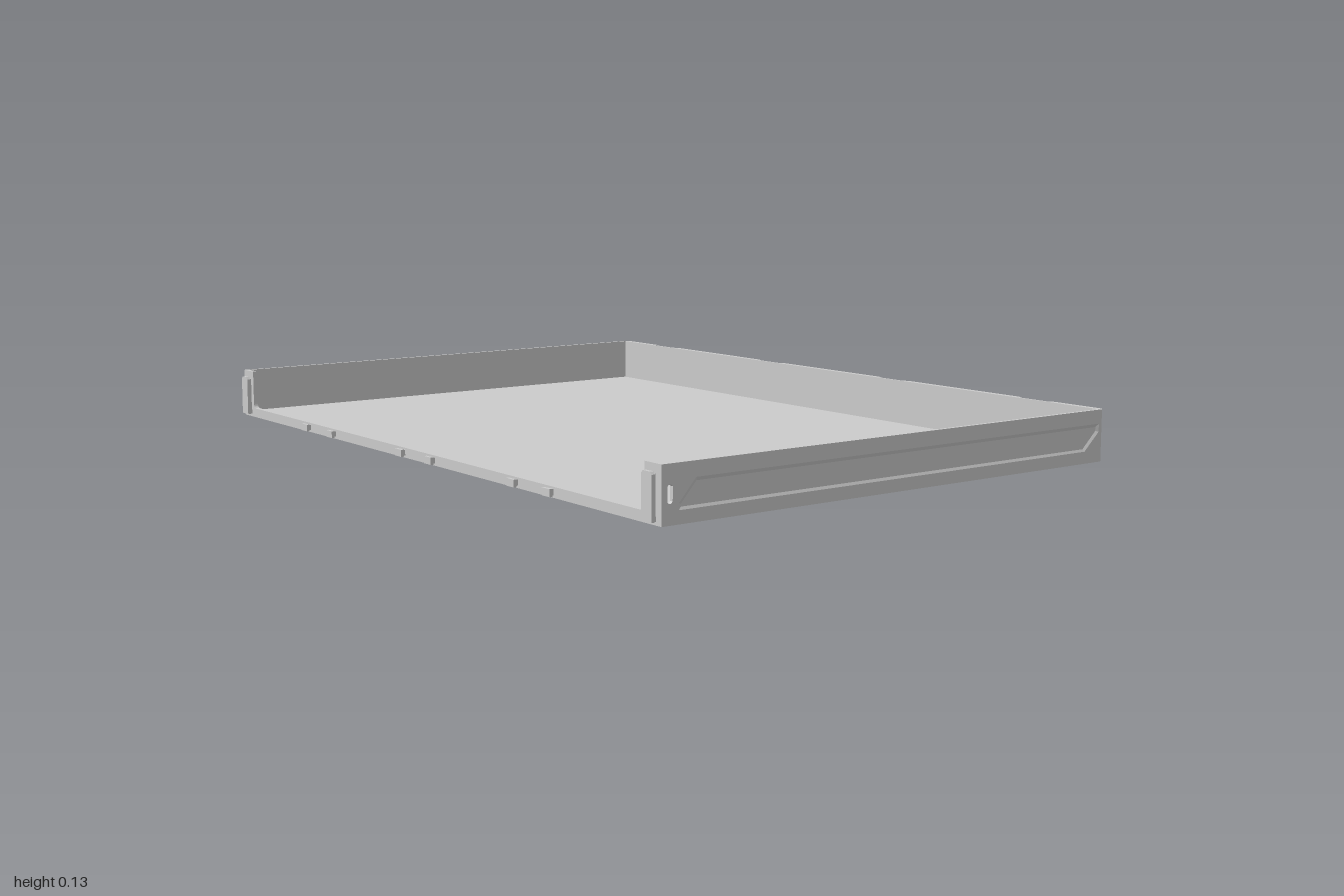
import * as THREE from 'three';
import { mergeGeometries } from 'three/addons/utils/BufferGeometryUtils.js';

const material = new THREE.MeshStandardMaterial({ color: 0xcccccc, flatShading: true });

const flat = (g) => {
  const out = g.index ? g.toNonIndexed() : g;
  out.deleteAttribute('uv');
  out.computeVertexNormals();
  return out;
};

const box = (x0, x1, y0, y1, z0, z1) =>
  flat(new THREE.BoxGeometry(x1 - x0, y1 - y0, z1 - z0)
    .translate((x0 + x1) / 2, (y0 + y1) / 2, (z0 + z1) / 2));

// Reflects a geometry across x = 0 and restores the winding
function mirrorX(geometry) {
  const g = geometry.clone().scale(-1, 1, 1);
  const p = g.attributes.position;
  const a = new THREE.Vector3(), b = new THREE.Vector3();
  for (let i = 0; i < p.count; i += 3) {
    a.fromBufferAttribute(p, i);
    b.fromBufferAttribute(p, i + 2);
    p.setXYZ(i, b.x, b.y, b.z);
    p.setXYZ(i + 2, a.x, a.y, a.z);
  }
  g.computeVertexNormals();
  return g;
}

const toShape = (pts) => new THREE.Shape(pts.map(([x, y]) => new THREE.Vector2(x, y)));
const rect = (x0, x1, y0, y1) => [[x0, y0], [x1, y0], [x1, y1], [x0, y1]];

// Plate whose face lies at z = front and which extends back by depth
function plate(outline, holes, front, depth) {
  const shape = toShape(outline);
  shape.holes = holes.map(toShape);
  return flat(new THREE.ExtrudeGeometry(shape, { depth, bevelEnabled: false })
    .translate(0, 0, front - depth));
}

// Sloped walls between a counter-clockwise opening and the smaller loop behind it
function slopedWalls(opening, inner, depth) {
  const pos = [];
  opening.forEach((p, i) => {
    const j = (i + 1) % opening.length;
    const a = [...p, 0], b = [...opening[j], 0];
    const c = [...inner[j], -depth], d = [...inner[i], -depth];
    pos.push(...a, ...b, ...c, ...a, ...c, ...d);
  });
  const g = new THREE.BufferGeometry();
  g.setAttribute('position', new THREE.Float32BufferAttribute(pos, 3));
  g.computeVertexNormals();
  return g;
}

// Opening with clipped lower corners
const clipped = (x0, x1, y0, y1, c) =>
  [[x0 + c, y0], [x1 - c, y0], [x1, y0 + c], [x1, y1], [x0, y1], [x0, y0 + c]];

// Upright triangular prism, given its plan as [x, z] points
function prism(plan, y0, y1) {
  return flat(new THREE.ExtrudeGeometry(toShape(plan.map(([x, z]) => [x, -z])),
    { depth: y1 - y0, bevelEnabled: false }).rotateX(-Math.PI / 2).translate(0, y0, 0));
}

export function createModel() {
  const model = new THREE.Group();
  const add = (name, ...parts) => {
    const mesh = new THREE.Mesh(mergeGeometries(parts), material);
    mesh.name = name;
    model.add(mesh);
  };
  const H = 0.13, BACK = 0.69, FRONT = 0.675;

  add('floor', box(-0.995, 0.995, 0, 0.012, -0.685, 0.67));
  add('frontLip', box(-0.995, 0.995, 0, 0.025, 0.662, FRONT));

  // Side walls: long bevelled recess and a through slot near the front
  const recess = [[-0.63, 0.03], [0.62, 0.03], [0.67, 0.075],
    [0.67, 0.095], [-0.585, 0.095], [-0.63, 0.045]];
  const recessFloor = [[-0.622, 0.036], [0.617, 0.036], [0.662, 0.077],
    [0.662, 0.087], [-0.581, 0.087], [-0.622, 0.042]];
  const slot = [[-0.66, 0.05], [-0.656, 0.046], [-0.65, 0.046], [-0.646, 0.05],
    [-0.646, 0.082], [-0.65, 0.086], [-0.656, 0.086], [-0.66, 0.082]];
  const sideOutline = rect(-FRONT, 0.68, 0, H);
  const side = mergeGeometries([
    plate(sideOutline, [recess, slot], 0, 0.004),
    plate(sideOutline, [slot], -0.004, 0.005),
    slopedWalls(recess, recessFloor, 0.004),
  ]).rotateY(Math.PI / 2).translate(1, 0, 0);
  add('leftWall', side);
  add('rightWall', mirrorX(side));

  // Back wall: thin sheet carrying five hollow frames with channels between
  add('backSheet', box(-0.995, 0.995, 0, H, -0.68, -0.674));
  const D = BACK - 0.68;
  const frames = [
    [-0.99, -0.84, 0.016], [-0.72, -0.32, 0.02], [-0.2, 0.2, 0.02],
    [0.32, 0.72, 0.02], [0.84, 0.99, 0.016],
  ];
  for (const [x0, x1, border] of frames) {
    const opening = clipped(x0 + border, x1 - border, 0.016, 0.108, 0.022);
    const inner = clipped(x0 + border + 0.012, x1 - border - 0.012, 0.038, 0.104, 0.018);
    add('backFrame', mergeGeometries([
      plate(rect(x0, x1, 0, H), [opening], 0, D),
      slopedWalls(opening, inner, D),
    ]).rotateY(Math.PI).translate(0, 0, -BACK));
    // Slanted flanks of the channels and the outer corners
    const w = 0.01 + (border === 0.02 ? 0.01 : 0);
    add('frameFlanks',
      prism([[x0, -BACK], [x0 - w, -0.68], [x0, -0.68]], 0, H),
      prism([[x1, -BACK], [x1, -0.68], [x1 + w, -0.68]], 0, H));
  }

  // Front corner posts with a filleted foot
  const postShape = new THREE.Shape();
  postShape.moveTo(0.995, 0);
  postShape.lineTo(0.995, H);
  postShape.lineTo(0.942, H);
  postShape.lineTo(0.942, 0.04);
  postShape.quadraticCurveTo(0.942, 0.025, 0.927, 0.025);
  postShape.lineTo(0.927, 0);
  const post = flat(new THREE.ExtrudeGeometry(postShape,
    { depth: FRONT - 0.663, bevelEnabled: false, curveSegments: 5 }).translate(0, 0, 0.663));
  add('leftPost', post);
  add('rightPost', mirrorX(post));

  // Tall locking tabs: narrow stem, wider head with rounded top
  const head = [[0.95, 0.008], [0.986, 0.008], [0.986, 0.108],
    [0.98, 0.114], [0.956, 0.114], [0.95, 0.108]];
  const tallTab = mergeGeometries([
    box(0.957, 0.979, 0.014, 0.108, FRONT, 0.682),
    plate(head, [], BACK, 0.009),
    box(0.954, 0.982, 0.008, 0.02, FRONT, 0.684),
  ]);
  add('leftLockingTab', tallTab);
  add('rightLockingTab', mirrorX(tallTab));

  // Low clip tabs along the lip, in pairs
  for (const centre of [-0.52, 0, 0.52]) {
    for (const s of [-1, 1]) {
      const x = centre + s * 0.073;
      add('clipTab',
        box(x - 0.01, x + 0.01, 0.006, 0.02, FRONT, 0.683),
        box(x - 0.016, x + 0.016, 0.004, 0.022, 0.682, BACK));
    }
  }
  return model;
}
